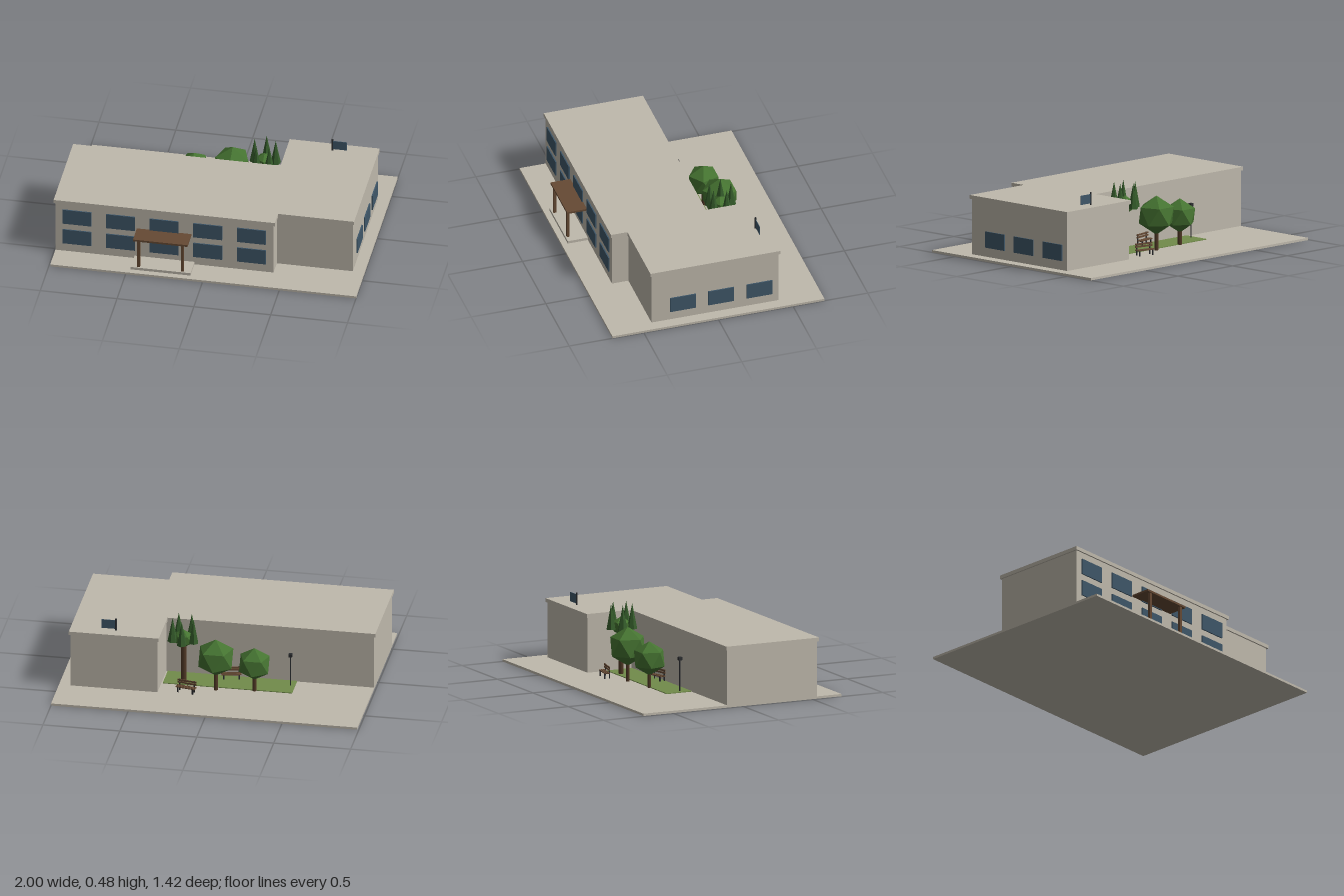
import * as THREE from 'three';

const mat = (name, color, flatShading = false) => {
  const m = new THREE.MeshStandardMaterial({ color, flatShading });
  m.name = name;
  return m;
};

export function createModel() {
  const concrete = mat('concrete', 0xbfb9ac);
  const glass = mat('blueGlass', 0x3f5769);
  const wood = mat('brownWood', 0x664a34);
  const bark = mat('bark', 0x4f3825);
  const leaf = mat('leafGreen', 0x457331, true);
  const pine = mat('pineGreen', 0x355c2b, true);
  const grass = mat('grass', 0x728c4b);
  const metal = mat('darkMetal', 0x2b2d30);

  const model = new THREE.Group();
  model.name = 'building';

  const add = (name, geometry, material, x, y, z, parent = model) => {
    const mesh = new THREE.Mesh(geometry, material);
    mesh.name = name;
    mesh.position.set(x, y, z);
    parent.add(mesh);
    return mesh;
  };
  // Box given by its extents
  const box = (name, material, x0, x1, y0, y1, z0, z1, parent) =>
    add(name, new THREE.BoxGeometry(x1 - x0, y1 - y0, z1 - z0), material,
      (x0 + x1) / 2, (y0 + y1) / 2, (z0 + z1) / 2, parent);
  const post = (name, material, r, x, y0, y1, z, parent, sides = 8) =>
    add(name, new THREE.CylinderGeometry(r, r, y1 - y0, sides), material, x, (y0 + y1) / 2, z, parent);

  // Stepped floor plan of both wings, grown outwards by o
  const plan = (name, o, y0, y1) => {
    const points = [
      [-0.99 - o, 0.535 + o], [0.43 + o, 0.535 + o], [0.43 + o, 0.425 + o], [0.925 + o, 0.425 + o],
      [0.925 + o, -0.425 - o], [0.36 - o, -0.425 - o], [0.36 - o, -0.11 - o], [-0.99 - o, -0.11 - o],
    ].map(([x, z]) => new THREE.Vector2(x, -z));
    const geometry = new THREE.ExtrudeGeometry(new THREE.Shape(points), { depth: y1 - y0, bevelEnabled: false });
    geometry.rotateX(-Math.PI / 2);
    add(name, geometry, concrete, 0, y0, 0);
  };

  box('pavement', concrete, -0.99, 1, 0, 0.015, -0.71, 0.71);
  plan('walls', 0, 0.015, 0.376);
  plan('roofSlab', 0.01, 0.376, 0.4);
  box('lawn', grass, -0.49, 0.35, 0.015, 0.02, -0.29, -0.11);

  // Two rows of front windows and one row on the side wing
  for (let i = 0; i < 5; i++) {
    const x = -0.85 + i * 0.284;
    for (const y of [0.075, 0.225]) {
      box('frontWindow', glass, x - 0.094, x + 0.094, y, y + 0.105, 0.534, 0.543);
    }
  }
  for (const z of [0.215, -0.04, -0.297]) {
    box('sideWindow', glass, 0.924, 0.933, 0.075, 0.18, z - 0.086, z + 0.086);
  }

  // Entrance canopy
  box('entranceStep', concrete, -0.475, -0.085, 0.015, 0.033, 0.53, 0.67);
  box('canopyRoof', wood, -0.46, -0.105, 0.23, 0.243, 0.535, 0.668);
  for (const x of [-0.425, -0.14]) box('canopyPost', wood, x - 0.009, x + 0.009, 0.033, 0.23, 0.643, 0.661);

  // Twenty-sided crown with one corner straight up
  const crown = (name, r, x, y, z, parent) => {
    const geometry = new THREE.IcosahedronGeometry(r, 0);
    geometry.rotateX(-Math.atan((1 + Math.sqrt(5)) / 2));
    return add(name, geometry, leaf, x, y, z, parent);
  };
  for (const [x, z, y, r] of [[0, -0.32, 0.243, 0.127], [-0.245, -0.29, 0.205, 0.111]]) {
    const tree = new THREE.Group();
    tree.name = 'roundTree';
    tree.position.set(x, 0.015, z);
    model.add(tree);
    post('trunk', bark, 0.013, 0, 0, y - 0.05, 0, tree);
    crown('treeCrown', r, 0, y - 0.015, 0, tree);
  }

  // Tall tree with a ring of pointed tufts
  const tall = new THREE.Group();
  tall.name = 'tallTree';
  tall.position.set(0.22, 0.015, -0.256);
  model.add(tall);
  post('tallTrunk', bark, 0.017, 0, 0, 0.31, 0, tall);
  crown('tallTreeCore', 0.062, 0, 0.315, 0, tall);
  for (let i = 0; i < 5; i++) {
    const a = i * Math.PI * 2 / 5;
    const tuft = add('pointedTuft', new THREE.ConeGeometry(0.033, 0.165, 6), pine,
      Math.sin(a) * 0.072, 0.3825, -Math.cos(a) * 0.072, tall);
    tuft.rotation.y = -a;
  }

  // Slatted benches
  for (const [x, z, turn] of [[0.18, -0.395, -0.2], [-0.07, -0.147, 0.2]]) {
    const bench = new THREE.Group();
    bench.name = 'bench';
    bench.position.set(x, 0.015, z);
    bench.rotation.y = turn;
    model.add(bench);
    for (const dz of [-0.013, 0, 0.013]) {
      box('seatSlat', wood, -0.065, 0.065, 0.034, 0.04, dz - 0.005, dz + 0.005, bench);
    }
    for (const y of [0.052, 0.068]) box('backSlat', wood, -0.065, 0.065, y, y + 0.011, 0.014, 0.019, bench);
    for (const dx of [-0.05, 0.05]) {
      box('frontLeg', metal, dx - 0.004, dx + 0.004, 0, 0.034, -0.017, -0.01, bench);
      box('backLeg', metal, dx - 0.004, dx + 0.004, 0, 0.079, 0.018, 0.023, bench);
    }
  }

  // Garden lamp
  post('lampPole', metal, 0.004, -0.46, 0.015, 0.225, -0.18);
  box('lampHead', metal, -0.472, -0.448, 0.222, 0.242, -0.192, -0.168);

  // Rooftop flag
  post('flagPole', metal, 0.006, 0.642, 0.39, 0.482, -0.36);
  box('flag', glass, 0.645, 0.735, 0.41, 0.47, -0.362, -0.358);

  return model;
}
